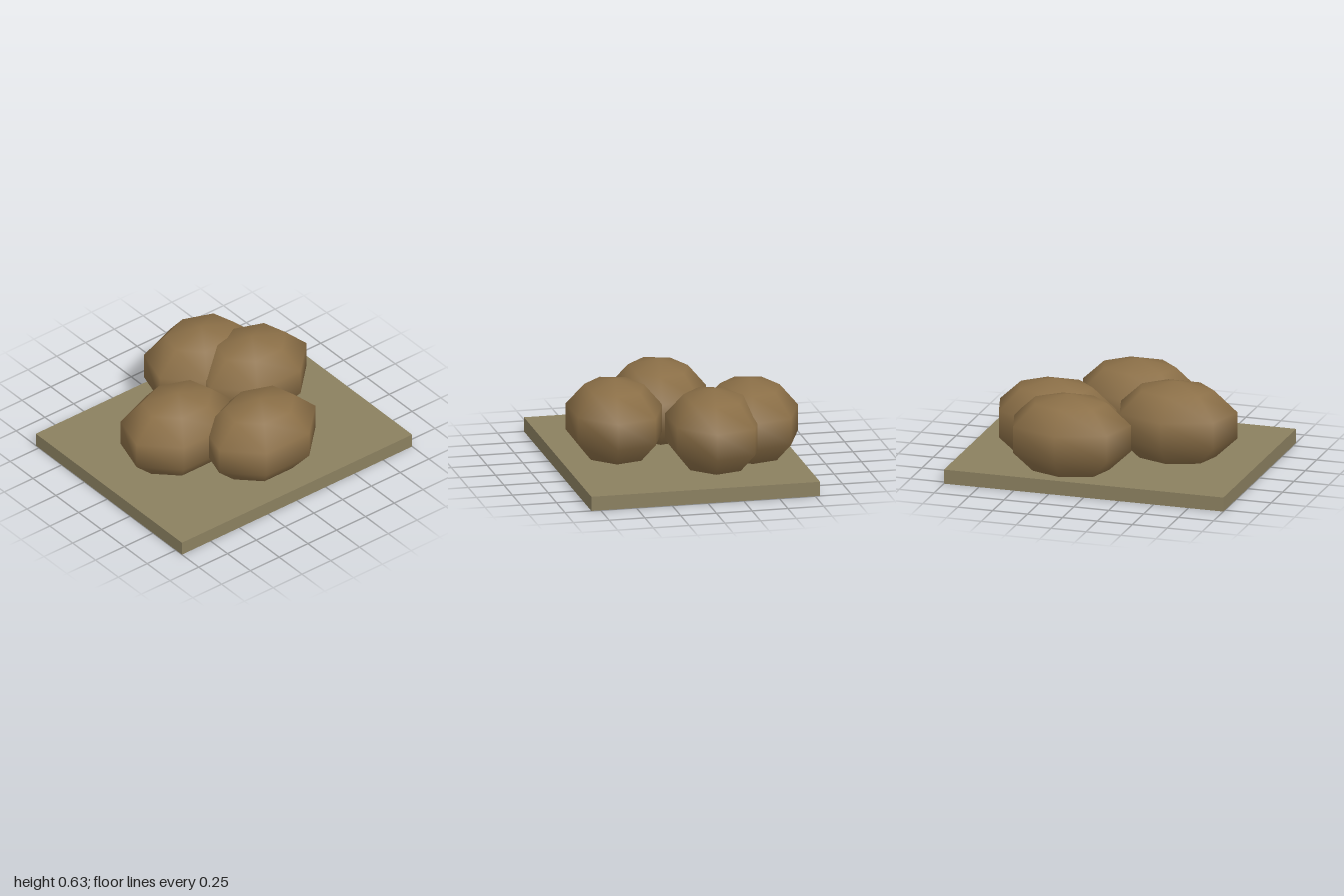
import * as THREE from 'three';

export function createModel() {
  const group = new THREE.Group();
  const brown = new THREE.MeshStandardMaterial({ color: 0x8b6f47 });
  brown.name = 'earthy brown';
  const tan = new THREE.MeshStandardMaterial({ color: 0x8b8060 });
  tan.name = 'dull tan';

  // Flat slab the lumps rest on
  const base = new THREE.Mesh(new THREE.BoxGeometry(2, 0.1, 1.6), tan);
  base.name = 'base';
  base.position.set(0, 0.05, 0.016);
  group.add(base);

  // Smooth low-poly lumps: seven sides, one corner pointing to the back
  const lumpGeometry = new THREE.SphereGeometry(1, 7, 5).rotateY(-Math.PI / 2);
  const centres = [[0, 0.416], [-0.4, 0.016], [0.4, -0.184], [0.2, -0.484]];
  centres.forEach(([x, z], i) => {
    const lump = new THREE.Mesh(lumpGeometry, brown);
    lump.name = `lump${i + 1}`;
    lump.scale.set(0.45, 0.3, 0.35);
    lump.position.set(x, 0.33, z);
    group.add(lump);
  });

  return group;
}
